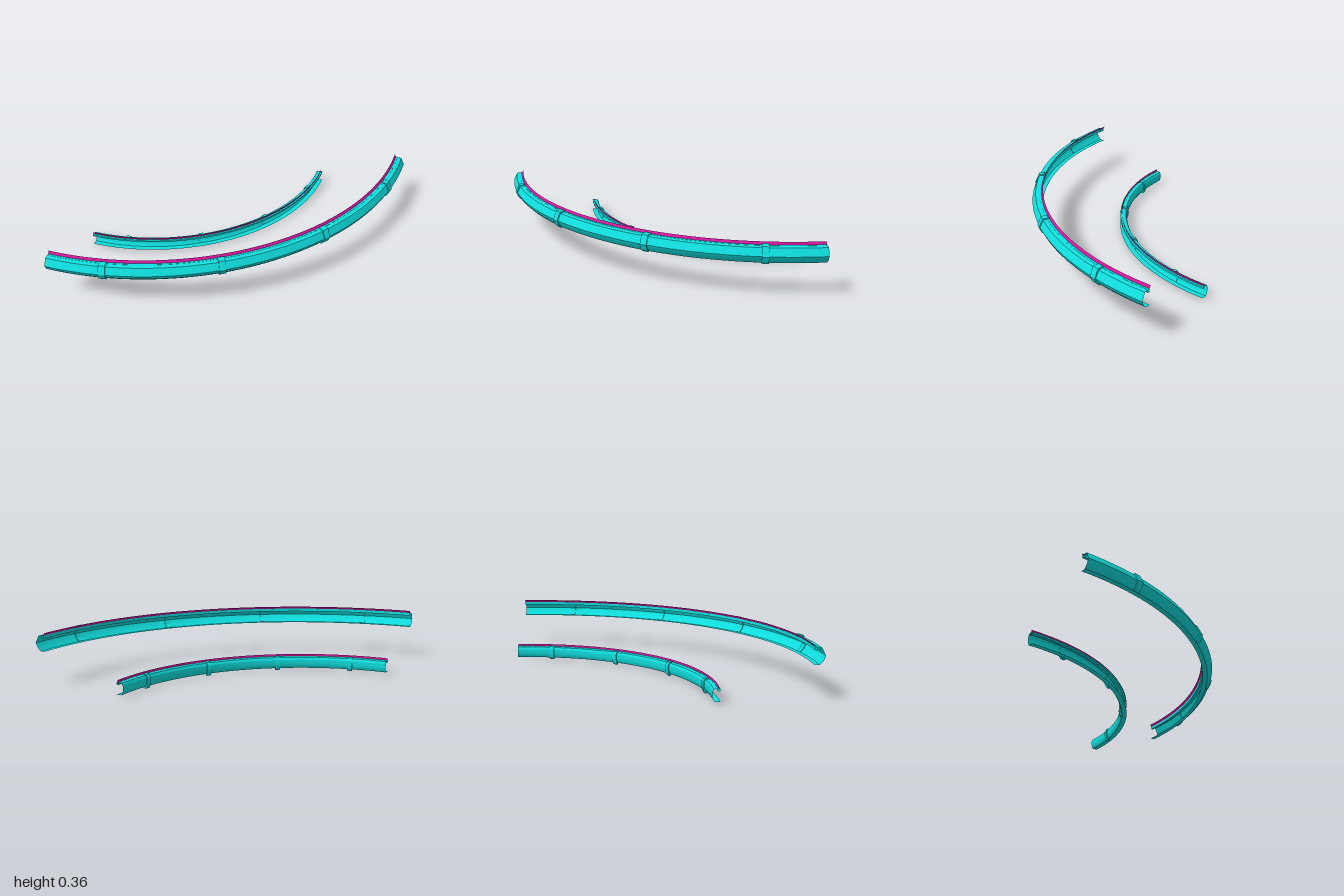
import * as THREE from 'three';
import { toCreasedNormals } from 'three/addons/utils/BufferGeometryUtils.js';

const cyan = new THREE.MeshStandardMaterial({ color: 0x10dede, side: THREE.DoubleSide });
const magenta = new THREE.MeshStandardMaterial({ color: 0xd0169a, side: THREE.DoubleSide });
const toPoints = (list) => list.map(([r, y]) => new THREE.Vector2(r, y));

// Sweep a [radius, height] profile through a quarter turn
function sweep(name, profile, material) {
  const lathe = new THREE.LatheGeometry(toPoints(profile), 48, 0, Math.PI / 2);
  const mesh = new THREE.Mesh(toCreasedNormals(lathe, 0.4), material);
  mesh.name = name;
  return mesh;
}

// Four evenly spaced brackets cut from a flat profile
function addBrackets(group, profile, width) {
  const geometry = new THREE.ExtrudeGeometry(new THREE.Shape(toPoints(profile)), {
    depth: width, bevelEnabled: false,
  });
  geometry.translate(0, 0, -width / 2);
  for (let i = 0; i < 4; i++) {
    const bracket = new THREE.Mesh(geometry, cyan);
    bracket.name = 'bracket';
    bracket.rotation.y = -((i + 0.5) * Math.PI) / 8;
    group.add(bracket);
  }
}

export function createModel() {
  const model = new THREE.Group();
  model.name = 'curvedRails';

  // Upper outer rail: channel open towards the inside of the curve
  const outer = new THREE.Group();
  outer.name = 'outerRail';
  outer.add(
    sweep('outerChannel', [
      [1.945, 0.342], [1.975, 0.338], [1.999, 0.288], [1.985, 0.258], [1.962, 0.235], [1.928, 0.235],
    ], cyan),
    sweep('outerLip', [
      [1.932, 0.343], [1.947, 0.343], [1.947, 0.322], [1.932, 0.322], [1.932, 0.343],
    ], cyan),
    sweep('outerStripe', [[1.934, 0.342], [1.922, 0.36]], magenta),
  );
  addBrackets(outer, [
    [1.94, 0.335], [1.94, 0.352], [1.98, 0.347], [2.007, 0.288], [1.992, 0.253], [1.968, 0.23],
    [1.958, 0.238], [1.98, 0.26], [1.993, 0.288], [1.97, 0.333],
  ], 0.046);

  // Lower inner rail: channel open towards the outside of the curve
  const inner = new THREE.Group();
  inner.name = 'innerRail';
  inner.add(
    sweep('innerChannel', [
      [1.352, 0.094], [1.324, 0.09], [1.316, 0.074], [1.315, 0.045], [1.32, 0.025], [1.328, 0.012], [1.365, 0.012],
    ], cyan),
    sweep('innerLip', [
      [1.348, 0.095], [1.364, 0.092], [1.364, 0.08], [1.35, 0.076], [1.348, 0.095],
    ], cyan),
    sweep('innerStripe', [[1.353, 0.093], [1.355, 0.108]], magenta),
  );
  addBrackets(inner, [
    [1.345, 0.092], [1.345, 0.099], [1.32, 0.096], [1.308, 0.076], [1.307, 0.043], [1.312, 0.018],
    [1.322, 0], [1.335, 0], [1.335, 0.012], [1.328, 0.014], [1.318, 0.045], [1.319, 0.073], [1.326, 0.088],
  ], 0.032);

  // Both rails share a centre of curvature at the back right corner
  for (const rail of [outer, inner]) {
    rail.position.set(-1, 0, -1);
    model.add(rail);
  }
  return model;
}
